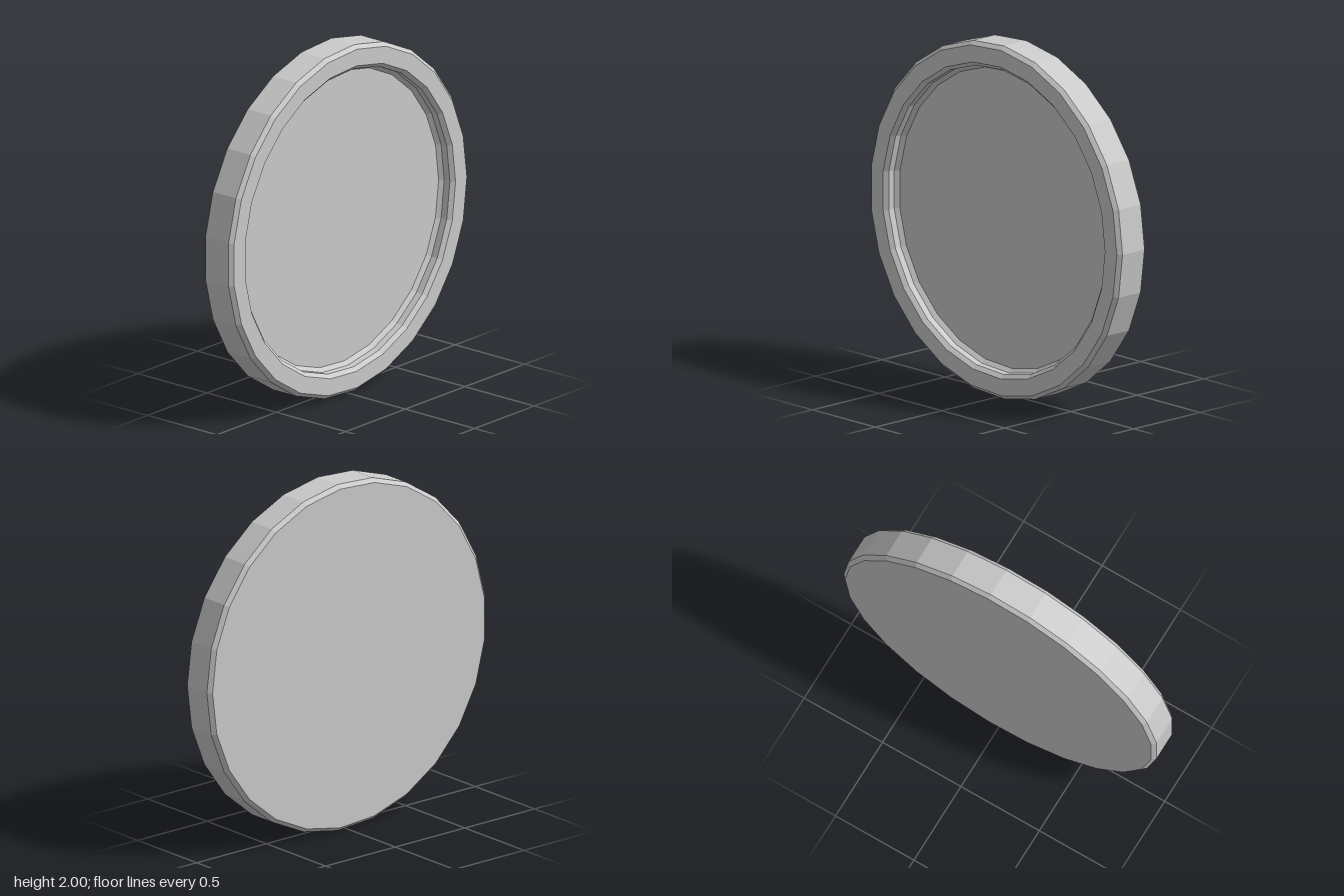
import * as THREE from 'three';

const SIDES = 25;
const R = 1.002;       // outer radius
const HALF = 0.105;    // half thickness
const BEVEL = 0.022;
const INNER = 0.863;   // recess wall radius
const FLOOR = 0.02;    // z of the recess floor

// Revolves [radius, z] pairs about the z axis, with one corner on +x
function revolve(name, profile, material) {
  const points = profile.map(([r, z]) => new THREE.Vector2(r, z));
  const geometry = new THREE.LatheGeometry(points, SIDES, Math.PI / 2);
  geometry.rotateX(Math.PI / 2);
  const mesh = new THREE.Mesh(geometry, material);
  mesh.name = name;
  return mesh;
}

export function createModel() {
  const group = new THREE.Group();
  group.name = 'shallowRoundDish';
  const material = new THREE.MeshStandardMaterial({ color: 0xcccccc, flatShading: true });

  // Flat back plate
  const back = revolve('back', [[0, -HALF], [R - BEVEL, -HALF]], material);

  // Bevelled rim, from the back edge around to the foot of the recess wall
  const rim = revolve('rim', [
    [R - BEVEL, -HALF],
    [R, -HALF + BEVEL],
    [R, HALF - BEVEL],
    [R - BEVEL, HALF],
    [INNER + BEVEL, HALF],
    [INNER, HALF - BEVEL],
    [INNER, FLOOR + BEVEL],
    [INNER - BEVEL, FLOOR],
  ], material);

  // Recessed front floor
  const floor = revolve('recessFloor', [[INNER - BEVEL, FLOOR], [0, FLOOR]], material);

  group.add(back, rim, floor);
  // An odd number of sides is slightly wider on +x, so recentre
  group.position.set(-0.004, 1, 0);
  return group;
}
